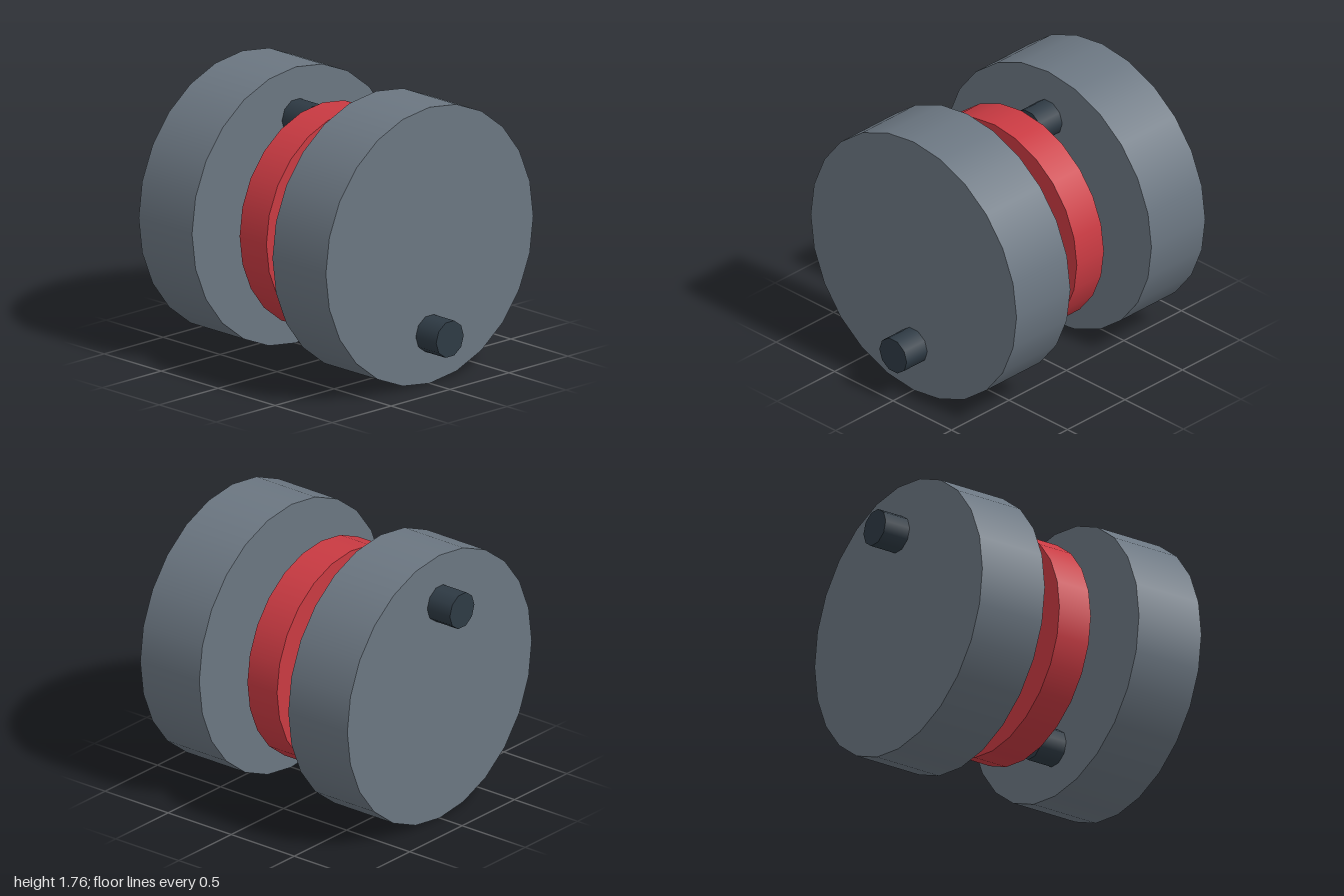
import * as THREE from 'three';

const CENTRE_Y = 0.88;

export function createModel() {
  const model = new THREE.Group();
  model.name = 'discAssembly';

  const paint = (color) => new THREE.MeshStandardMaterial({ color });
  const discPaint = paint(0x6b7681);
  const pinPaint = paint(0x2e3a44);
  const ringPaint = paint(0xc93a42);
  const axlePaint = paint(0x242424);

  // Cylinder lying along x, with a vertex of its outline facing +z
  function addRod(name, radius, length, sides, material, x, y) {
    const geometry = new THREE.CylinderGeometry(radius, radius, length, sides);
    geometry.rotateZ(Math.PI / 2);
    const mesh = new THREE.Mesh(geometry, material);
    mesh.name = name;
    mesh.position.set(x, y, 0);
    model.add(mesh);
  }

  // Central shaft and the thin disc around it
  addRod('axle', 0.176, 0.94, 16, axlePaint, 0, CENTRE_Y);
  addRod('centreDisc', 0.704, 0.235, 24, ringPaint, 0, CENTRE_Y);

  // Outer discs, each with an off-centre pin: low on the left, high on the right
  for (const [side, s] of [['left', 1], ['right', -1]]) {
    addRod(side + 'Disc', 0.88, 0.468, 24, discPaint, s * 0.587, CENTRE_Y);
    addRod(side + 'CrankPin', 0.117, 0.824, 10, pinPaint, s * 0.588, CENTRE_Y - s * 0.56);
  }

  return model;
}
